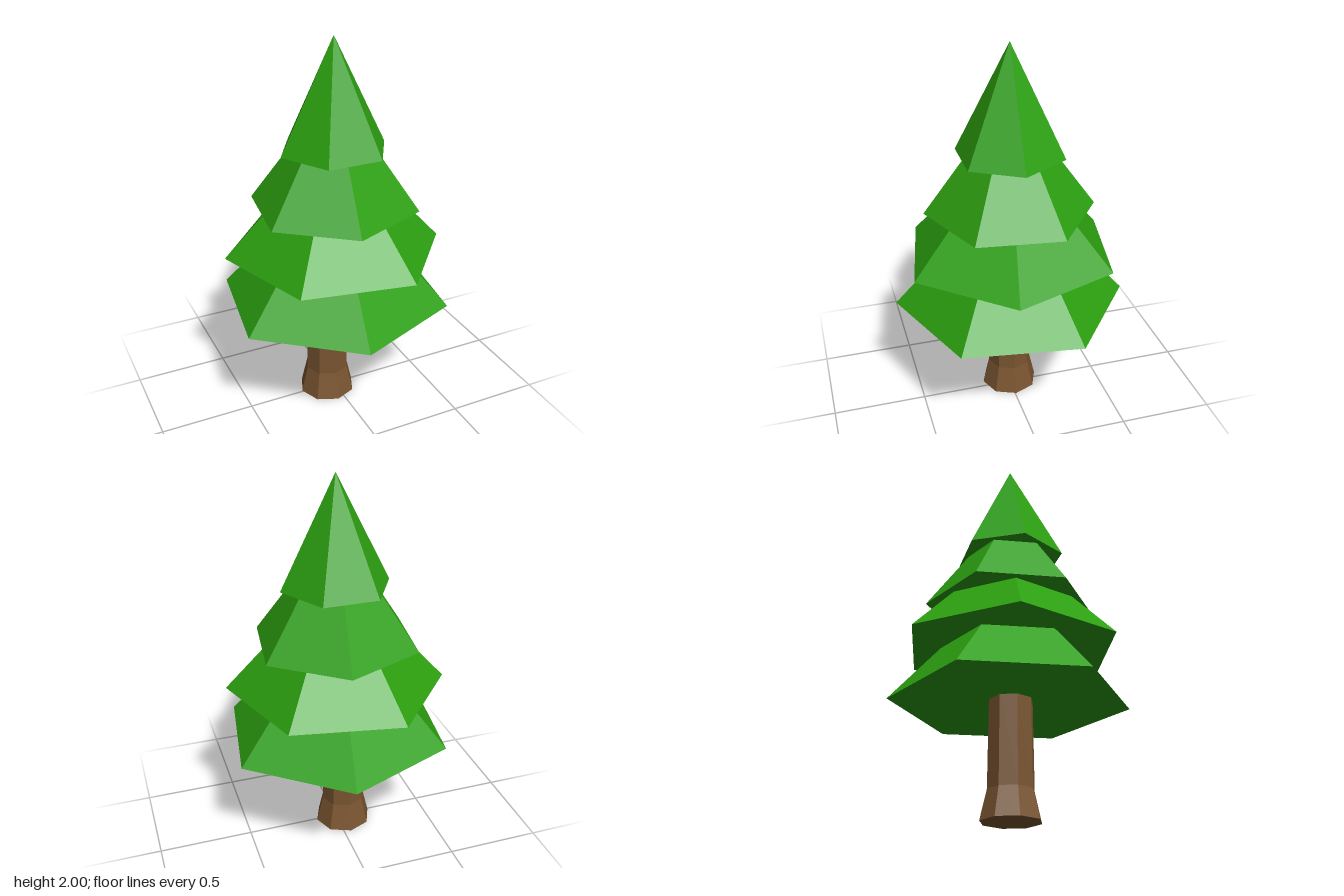
import * as THREE from 'three';

export function createModel() {
  const tree = new THREE.Group();
  tree.name = 'pineTree';
  const green = new THREE.MeshStandardMaterial({ color: 0x2ca010, flatShading: true });
  const brown = new THREE.MeshStandardMaterial({ color: 0x7a5530, flatShading: true });

  // Eight-sided trunk with a flared foot, set slightly off centre
  const profile = [[0, 0], [0.153, 0], [0.118, 0.15], [0.1125, 0.65], [0, 0.65]]
    .map(([r, y]) => new THREE.Vector2(r, y));
  const trunk = new THREE.Mesh(new THREE.LatheGeometry(profile, 8), brown);
  trunk.name = 'trunk';
  trunk.position.set(-0.04, 0, -0.007);
  tree.add(trunk);

  // Six-sided foliage cones, lowest first: radius, base, apex, turn in degrees
  const tiers = [
    [0.614, 0.6, 1.28, 21.5],
    [0.575, 0.885, 1.505, -11],
    [0.443, 1.13, 1.74, 22.3],
    [0.286, 1.43, 2, 0],
  ];
  tiers.forEach(([radius, base, apex, turn], i) => {
    const cone = new THREE.Mesh(new THREE.ConeGeometry(radius, apex - base, 6), green);
    cone.name = `foliageTier${i + 1}`;
    cone.position.y = (base + apex) / 2;
    cone.rotation.y = THREE.MathUtils.degToRad(30 + turn);
    tree.add(cone);
  });

  return tree;
}
